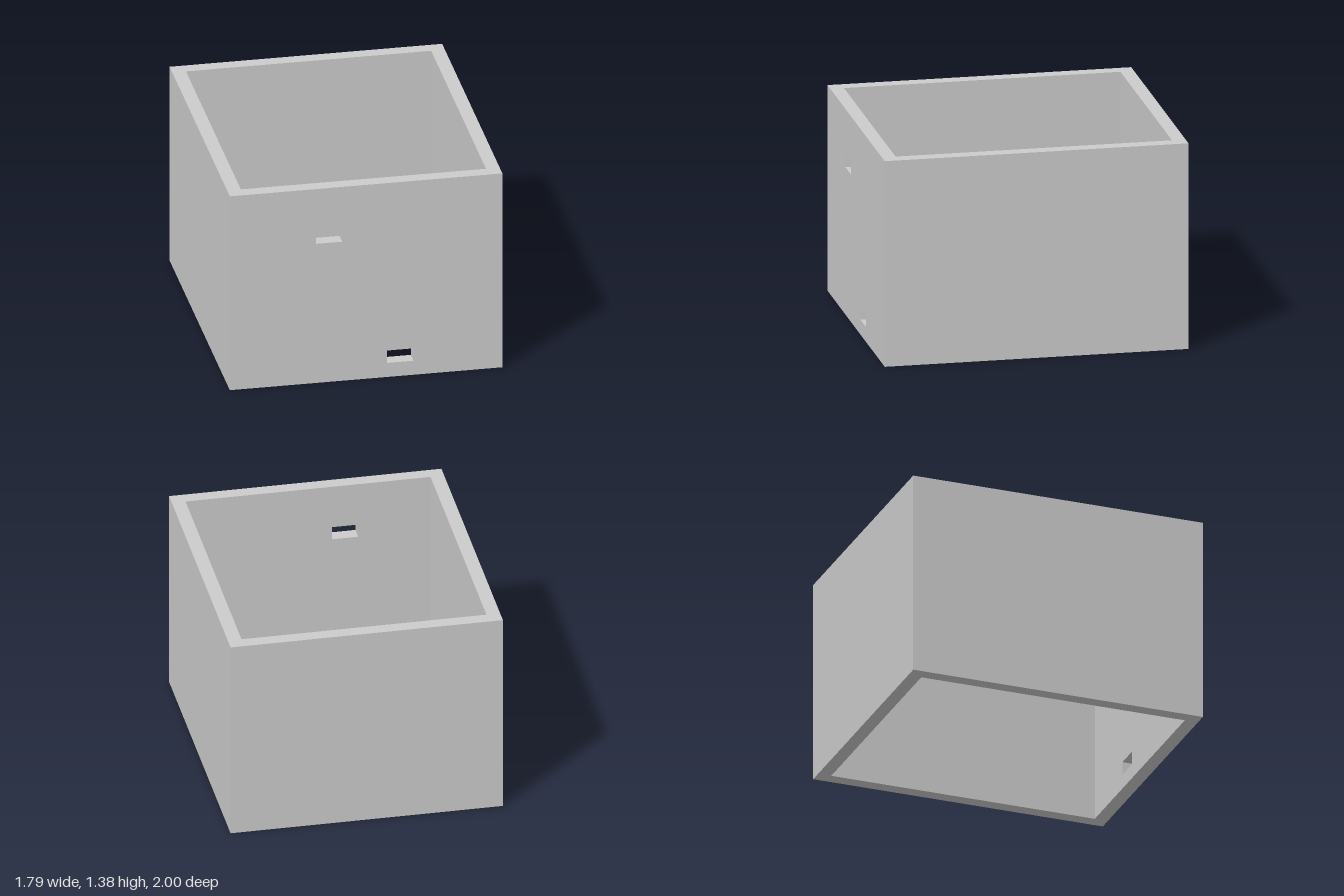
import * as THREE from 'three';

const W = 0.895, D = 1, H = 1.38; // half width, half depth, height
const T = 0.09; // wall thickness

const points = (list) => list.map(([x, y]) => new THREE.Vector2(x, y));
const rect = (x0, y0, x1, y1) => points([[x0, y0], [x1, y0], [x1, y1], [x0, y1]]);
const extrude = (shape, depth) => new THREE.ExtrudeGeometry(shape, { depth, bevelEnabled: false });

export function createModel() {
  const group = new THREE.Group();
  group.name = 'openBoxFrame';
  const material = new THREE.MeshStandardMaterial({ color: 0xcccccc });

  const add = (name, geometry) => {
    const mesh = new THREE.Mesh(geometry, material);
    mesh.name = name;
    group.add(mesh);
  };

  // Front wall, pierced by an upper and a lower rectangular slot
  const front = new THREE.Shape(rect(-W, 0, W, H));
  front.holes.push(
    new THREE.Path(rect(-0.33, 0.99, -0.157, 1.08)),
    new THREE.Path(rect(0.138, 0.1, 0.311, 0.188)),
  );
  add('frontWall', extrude(front, T).translate(0, 0, D - T));

  // Side and back walls as one U-shaped plan, open at top and bottom
  const zFront = T - D; // plan y is -z
  const plan = new THREE.Shape(points([
    [-W, zFront], [-W + T, zFront], [-W + T, D - T], [W - T, D - T],
    [W - T, zFront], [W, zFront], [W, D], [-W, D],
  ]));
  add('sideAndBackWalls', extrude(plan, H).rotateX(-Math.PI / 2));

  return group;
}
